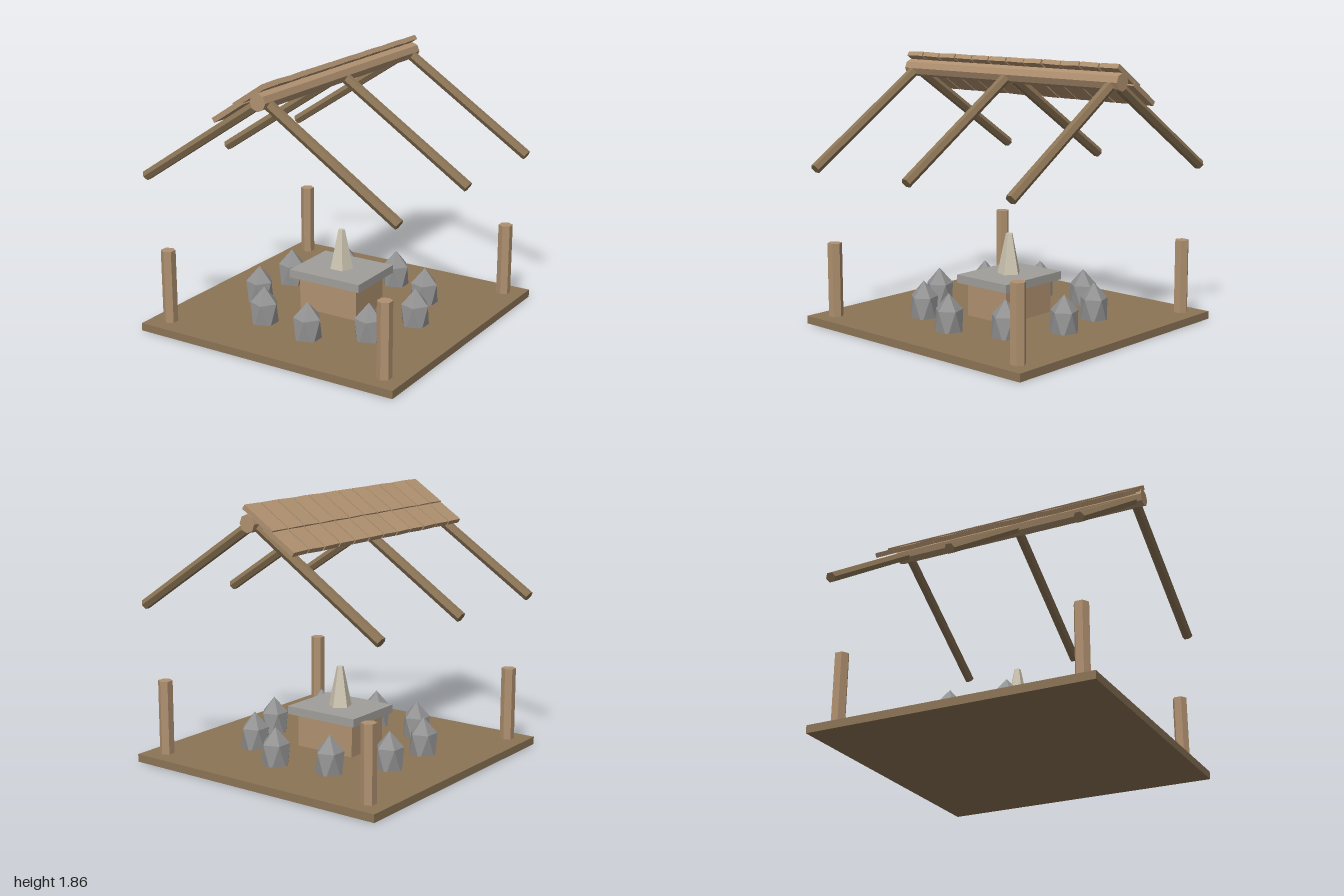
import * as THREE from 'three';

const mat = (name, color) => {
  const m = new THREE.MeshStandardMaterial({ color });
  m.name = name;
  m.flatShading = true;
  return m;
};

// Upright crystal: five-sided point over a twisted five-sided body
function crystalGeometry(r, yLow, yMid, yTop) {
  const ring = (y, offset) => Array.from({ length: 5 }, (_, i) => {
    const a = (i + offset) * Math.PI * 2 / 5;
    return [r * Math.cos(a), y, -r * Math.sin(a)];
  });
  const up = ring(yMid, 0), low = ring(yLow, 0.5), pos = [];
  const tri = (...pts) => pts.forEach((p) => pos.push(...p));
  for (let i = 0; i < 5; i++) {
    const j = (i + 1) % 5;
    tri([0, yTop, 0], up[i], up[j]);
    tri(up[i], low[i], up[j]);
    tri(up[j], low[i], low[j]);
    tri([0, yLow, 0], low[j], low[i]);
  }
  const g = new THREE.BufferGeometry();
  g.setAttribute('position', new THREE.Float32BufferAttribute(pos, 3));
  g.computeVertexNormals();
  return g;
}

export function createModel() {
  const model = new THREE.Group();
  model.name = 'shrine';
  const darkWood = mat('dark wood', 0x8b7456);
  const lightWood = mat('light wood', 0xb09170);
  const stone = mat('grey stone', 0x939393);
  const slabStone = mat('slab stone', 0xa19f9b);
  const paleStone = mat('pale stone', 0xcfc7b3);

  const add = (name, geo, material, x = 0, y = 0, z = 0) => {
    const m = new THREE.Mesh(geo, material);
    m.name = name;
    m.position.set(x, y, z);
    model.add(m);
    return m;
  };

  // Floor and corner posts
  add('floor', new THREE.BoxGeometry(2, 0.055, 2), darkWood, 0, 0.0275, 0);
  const post = new THREE.CylinderGeometry(0.051, 0.051, 0.565, 6);
  for (const x of [-0.858, 0.858])
    for (const z of [-0.858, 0.858]) add('cornerPost', post, lightWood, x, 0.2925, z);

  // Altar with a tapering pillar
  add('altarBase', new THREE.BoxGeometry(0.465, 0.25, 0.36), lightWood, 0, 0.17, 0);
  add('altarSlab', new THREE.BoxGeometry(0.57, 0.058, 0.465), slabStone, 0, 0.319, 0);
  add('altarPillar', new THREE.CylinderGeometry(0.024, 0.084, 0.285, 5), paleStone, 0, 0.49, 0)
    .rotation.y = Math.PI;

  // Ring of nine standing stones
  const crystal = crystalGeometry(0.098, 0.02, 0.2, 0.312);
  for (let i = 0; i < 9; i++) {
    const a = i * Math.PI * 2 / 9;
    add('standingStone', crystal, stone, 0.6 * Math.cos(a), 0, 0.6 * Math.sin(a));
  }

  // Ridge beam
  add('ridgeBeam', new THREE.CylinderGeometry(0.06, 0.06, 1.95, 8), lightWood, 0, 1.74, 0)
    .rotation.x = Math.PI / 2;

  // Three pairs of rafters
  const endX = 0.977, drop = 0.64;
  const rafter = new THREE.CylinderGeometry(0.037, 0.037, Math.hypot(endX, drop), 6);
  for (const z of [-0.905, 0, 0.905])
    for (const s of [-1, 1])
      add('rafter', rafter, darkWood, s * endX / 2, 1.74 - drop / 2, z)
        .rotation.z = s * Math.atan2(endX, drop);

  // Two overlapping rows of slightly uneven roof planks on one slope
  const plank = new THREE.BoxGeometry(0.27, 0.034, 0.15);
  const rows = [['lowerRoofPlank', -0.243, 1.651], ['upperRoofPlank', -0.078, 1.77]];
  rows.forEach(([name, x, y], r) => {
    for (let i = 0; i < 12; i++) {
      const wobble = Math.sin(i * 2.7 + r * 1.9);
      add(name, plank, lightWood, x, y, 0.891 - i * 0.162)
        .rotation.set(0.025 * wobble, 0.012 * Math.sin(i * 4.1 + r), 0.577);
    }
  });

  return model;
}
